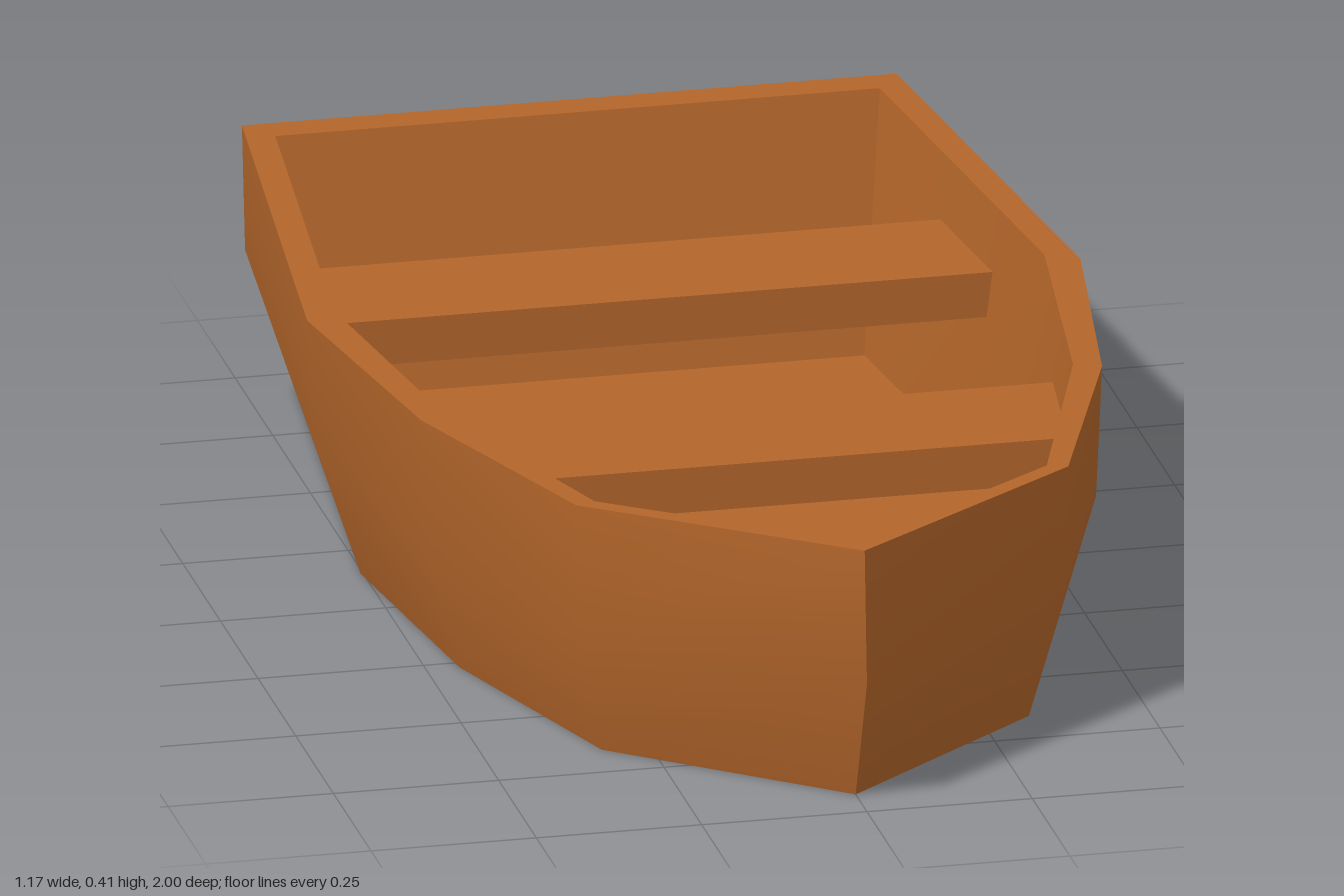
import * as THREE from 'three';
import { toCreasedNormals } from 'three/addons/utils/BufferGeometryUtils.js';

// Closed outline at height y from the half outline [x, z], running bow to stern
function ring(y, half) {
  const left = half.map(([x, z]) => new THREE.Vector3(x, y, z));
  const right = half.slice(1).reverse().map(([x, z]) => new THREE.Vector3(-x, y, z));
  return [...left, ...right];
}

// Skin between successive rings
function loft(rings, crease) {
  const out = [];
  for (let r = 0; r < rings.length - 1; r++) {
    const a = rings[r], b = rings[r + 1], n = a.length;
    for (let i = 0; i < n; i++) {
      const j = (i + 1) % n;
      out.push(a[i], a[j], b[j], a[i], b[j], b[i]);
    }
  }
  const geo = new THREE.BufferGeometry().setFromPoints(out);
  return toCreasedNormals(geo, THREE.MathUtils.degToRad(crease));
}

// Flat fan closing a ring, facing up or down
function cap(points, up) {
  const centre = new THREE.Vector3(0, points[0].y, 0);
  const out = [];
  points.forEach((p, i) => {
    const q = points[(i + 1) % points.length];
    out.push(centre, ...(up ? [p, q] : [q, p]));
  });
  const geo = new THREE.BufferGeometry().setFromPoints(out);
  geo.computeVertexNormals();
  return geo;
}

export function createModel() {
  const boat = new THREE.Group();
  boat.name = 'rowingBoat';
  const wood = new THREE.MeshStandardMaterial({ color: 0xb2652a });
  wood.name = 'brown wood';

  const add = (name, geo) => {
    const mesh = new THREE.Mesh(geo, wood);
    mesh.name = name;
    boat.add(mesh);
  };

  // Hull cross-sections
  const keel = ring(0, [[0, 0.925], [0.323, 0.657], [0.45, 0.27], [0.504, -0.15], [0.425, -0.935]]);
  const waist = ring(0.2, [[0, 1.0], [0.365, 0.707], [0.507, 0.295], [0.57, -0.15], [0.485, -1.0]]);
  const rimOuter = ring(0.405, [[0, 0.985], [0.372, 0.703], [0.515, 0.3], [0.585, -0.15], [0.495, -0.977]]);
  const rimInner = ring(0.405, [[0, 0.945], [0.342, 0.692], [0.475, 0.283], [0.537, -0.18], [0.457, -0.922]]);
  const floor = ring(0.02, [[0, 0.81], [0.31, 0.582], [0.428, 0.25], [0.486, -0.21], [0.414, -0.835]]);

  add('hullOutside', loft([keel, waist, rimOuter], 40));
  add('hullBottom', cap(keel, false));
  add('gunwale', loft([rimOuter, rimInner], 40));
  add('hullInside', loft([rimInner, floor], 25));
  add('floor', cap(floor, true));

  // Seats, with their ends let into the hull sides
  add('rearBench', new THREE.BoxGeometry(1.01, 0.07, 0.235).translate(0, 0.275, -0.4925));
  add('frontBench', new THREE.BoxGeometry(0.99, 0.07, 0.235).translate(0, 0.275, 0.2175));

  return boat;
}
